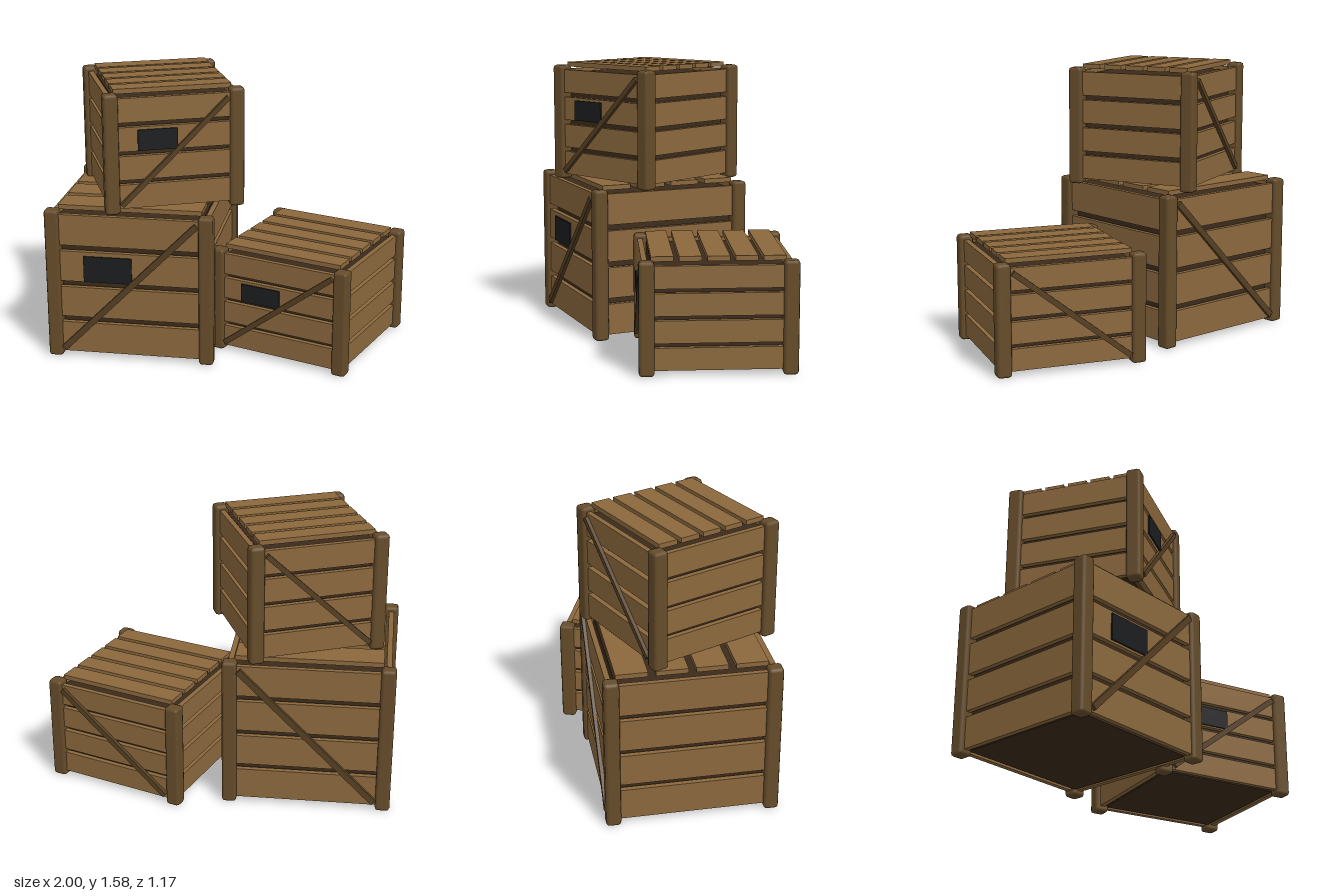
import * as THREE from 'three';
import { RoundedBoxGeometry } from 'three/addons/geometries/RoundedBoxGeometry.js';

const paint = (name, color) => {
  const m = new THREE.MeshStandardMaterial({ color });
  m.name = name;
  return m;
};

const WALL = 0.03; // wall board thickness

function addMesh(parent, name, geometry, material, x, y, z) {
  const mesh = new THREE.Mesh(geometry, material);
  mesh.name = name;
  mesh.position.set(x, y, z);
  parent.add(mesh);
  return mesh;
}

// w: distance between post centres, h: post height
function createCrate(name, w, h, lidCount, mats) {
  const crate = new THREE.Group();
  crate.name = name;
  const half = w / 2;
  const low = 0.03, high = h - 0.025;

  // Dark inner box seen through the gaps
  const inner = w - 0.06;
  addMesh(crate, 'innerBox', new THREE.BoxGeometry(inner, high - low - 0.02, inner),
    mats.inner, 0, (low + high) / 2 - 0.008, 0);

  // Chamfered corner posts
  const post = new RoundedBoxGeometry(0.083, h, 0.083, 1, 0.018);
  for (const sx of [-1, 1]) {
    for (const sz of [-1, 1]) addMesh(crate, 'cornerPost', post, mats.post, sx * half, h / 2, sz * half);
  }

  // Four boards on each wall
  const step = (high - low) / 4;
  const gap = step * 0.17;
  const boardHeight = step - gap * 0.75;
  const across = new THREE.BoxGeometry(w - 0.04, boardHeight, WALL);
  const along = new THREE.BoxGeometry(WALL, boardHeight, w - 0.04);
  for (let i = 0; i < 4; i++) {
    const y = low + boardHeight / 2 + i * (boardHeight + gap);
    for (const s of [-1, 1]) {
      addMesh(crate, s > 0 ? 'frontBoard' : 'backBoard', across, mats.board, 0, y, s * (half + 0.006));
      addMesh(crate, s > 0 ? 'leftBoard' : 'rightBoard', along, mats.board, s * half, y, 0);
    }
  }

  // Lid boards
  const lid = w * 0.935;
  const lidGap = (lid / lidCount) * 0.2;
  const lidWidth = (lid - lidGap * (lidCount - 1)) / lidCount;
  const lidBoard = new THREE.BoxGeometry(lid, 0.027, lidWidth);
  for (let i = 0; i < lidCount; i++) {
    const z = -lid / 2 + lidWidth / 2 + i * (lidWidth + lidGap);
    addMesh(crate, 'lidBoard', lidBoard, mats.board, 0, h + 0.004, z);
  }

  // Diagonal braces on front and back
  const dx = w - 0.1, dy = h - 0.1;
  const brace = new THREE.BoxGeometry(Math.hypot(dx, dy), w * 0.04, 0.022);
  for (const s of [-1, 1]) {
    const mesh = addMesh(crate, s > 0 ? 'frontBrace' : 'backBrace', brace, mats.brace,
      0, h / 2, s * (half + 0.03));
    mesh.rotation.z = Math.atan2(dy, dx);
  }

  // Blank plate on the front
  addMesh(crate, 'frontPlate', new THREE.BoxGeometry(w * 0.315, h * 0.172, 0.009),
    mats.plate, -w * 0.137, h * 0.617, half + 0.0255 + 0.008);
  return crate;
}

export function createModel() {
  const mats = {
    board: paint('board wood', 0x8b683d),
    post: paint('post wood', 0x664c2a),
    brace: paint('brace wood', 0x563f23),
    inner: paint('dark interior', 0x3b2a1a),
    plate: paint('black plate', 0x1c1d1f),
  };
  const model = new THREE.Group();
  model.name = 'crateStack';

  // name, spacing, height, lid boards, position, turn
  const crates = [
    ['largeCrate', 0.875, 0.882, 4, [-0.48, 0, 0.05], 0.1],
    ['sideCrate', 0.767, 0.62, 5, [0.48, 0, -0.075], -0.25],
    ['topCrate', 0.703, 0.678, 5, [-0.373, 0.885, 0.052], 0.5],
  ];
  for (const [name, w, h, count, position, turn] of crates) {
    const crate = createCrate(name, w, h, count, mats);
    crate.position.set(...position);
    crate.rotation.y = turn;
    model.add(crate);
  }
  return model;
}
